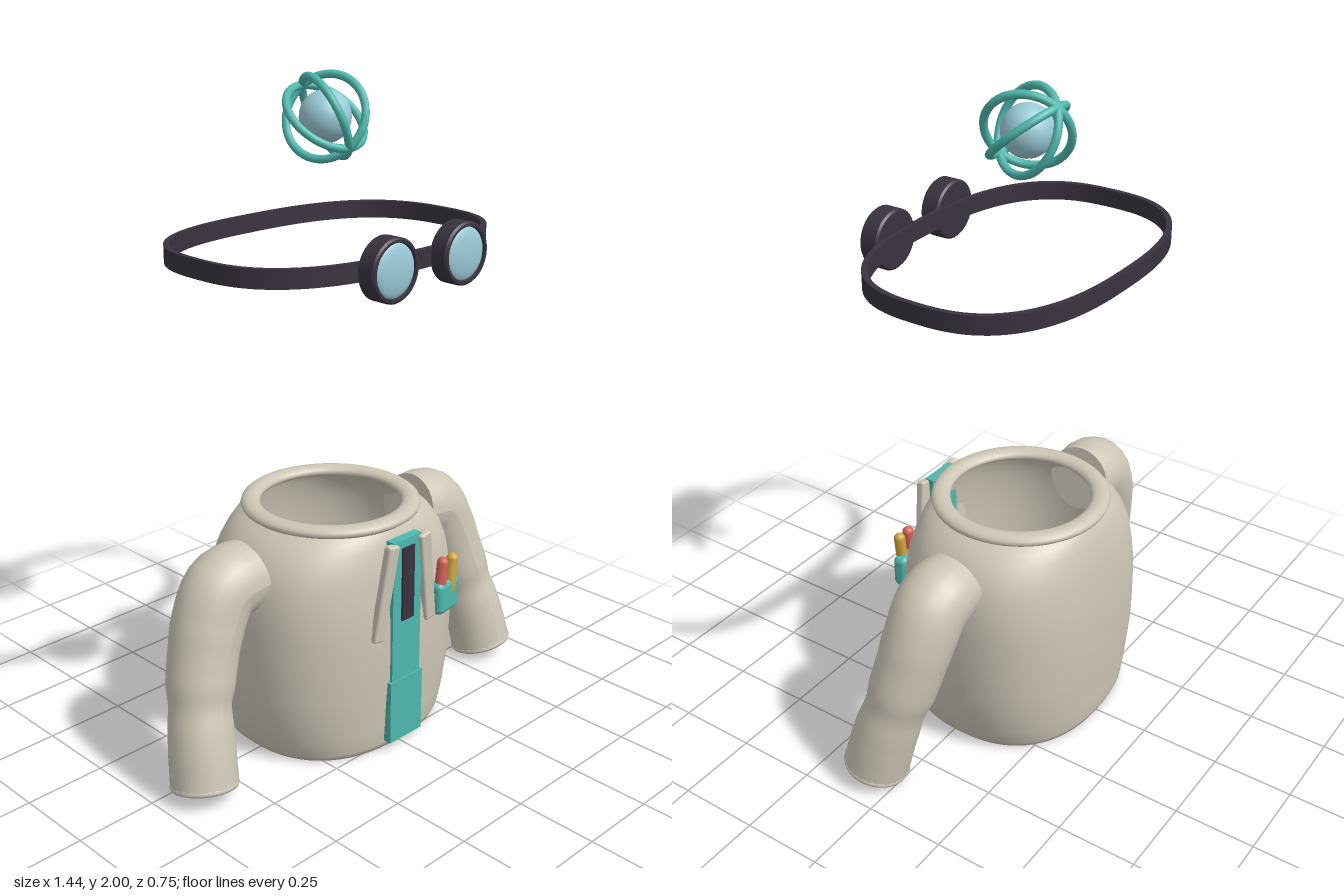
import * as THREE from 'three';
import { toCreasedNormals } from 'three/addons/utils/BufferGeometryUtils.js';
import { RoundedBoxGeometry } from 'three/addons/geometries/RoundedBoxGeometry.js';

const material = (name, color, side = THREE.FrontSide) => {
  const m = new THREE.MeshStandardMaterial({ color, side });
  m.name = name;
  return m;
};

// Skin over superellipse rings; each row is [y, halfWidth, halfDepth, exponent]
function loft(rows, zc, seg = 64) {
  const pos = [], index = [];
  const se = (v, n) => Math.sign(v) * Math.abs(v) ** (2 / n);
  rows.forEach(([y, a, b, n], j) => {
    for (let i = 0; i < seg; i++) {
      const t = (i / seg) * Math.PI * 2;
      pos.push(a * se(Math.cos(t), n), y, zc + b * se(Math.sin(t), n));
      if (j === rows.length - 1) continue;
      const p = j * seg + i, q = j * seg + (i + 1) % seg;
      index.push(p, p + seg, q, q, p + seg, q + seg);
    }
  });
  const g = new THREE.BufferGeometry();
  g.setAttribute('position', new THREE.Float32BufferAttribute(pos, 3));
  g.setIndex(index);
  g.computeVertexNormals();
  return g;
}

// Tube whose radius follows a list of evenly spaced values
function taperedTube(path, radii, steps = 32, sides = 24) {
  const g = new THREE.TubeGeometry(path, steps, 1, sides, false);
  const p = g.attributes.position, v = new THREE.Vector3();
  for (let j = 0; j <= steps; j++) {
    const u = j / steps, c = path.getPointAt(u);
    const f = u * (radii.length - 1), k = Math.min(Math.floor(f), radii.length - 2);
    const r = THREE.MathUtils.lerp(radii[k], radii[k + 1], THREE.MathUtils.smoothstep(f - k, 0, 1));
    for (let i = 0; i <= sides; i++) {
      const id = j * (sides + 1) + i;
      v.fromBufferAttribute(p, id).sub(c).multiplyScalar(r).add(c);
      p.setXYZ(id, v.x, v.y, v.z);
    }
  }
  g.computeVertexNormals();
  return g;
}

export function createModel() {
  const root = new THREE.Group();
  const cloth = material('cream cloth', 0xcdc6b6, THREE.DoubleSide);
  const teal = material('teal', 0x4fb8ad);
  const dark = material('dark plum', 0x3a3340);
  const glass = material('pale blue', 0x9bcbd8);
  const red = material('red', 0xd8625a);
  const yellow = material('yellow', 0xd0a840);

  const add = (name, geo, mat, x = 0, y = 0, z = 0, parent = root) => {
    const m = new THREE.Mesh(geo, mat);
    m.name = name;
    m.position.set(x, y, z);
    parent.add(m);
    return m;
  };

  // Coat body, open at neck and hem, with a turned-in hem
  add('coatBody', loft([
    [0.03, 0.275, 0.25, 2.4], [0.005, 0.285, 0.26, 2.4], [0, 0.33, 0.295, 2.4],
    [0.02, 0.345, 0.303, 2.4], [0.08, 0.366, 0.306, 2.45], [0.15, 0.378, 0.309, 2.5],
    [0.22, 0.387, 0.314, 2.5], [0.32, 0.389, 0.316, 2.5], [0.42, 0.39, 0.315, 2.5],
    [0.5, 0.386, 0.308, 2.45], [0.57, 0.375, 0.3, 2.4], [0.62, 0.355, 0.291, 2.3],
    [0.66, 0.328, 0.281, 2.2], [0.69, 0.295, 0.272, 2.1], [0.71, 0.26, 0.258, 2],
  ], -0.027), cloth);

  // Rolled neck
  const neck = add('neckRing', new THREE.TorusGeometry(0.246, 0.03, 14, 64), cloth, 0, 0.716, -0.027);
  neck.rotation.x = Math.PI / 2;
  neck.scale.z = 0.62;

  // Sleeves with cuff rings
  for (const s of [1, -1]) {
    const sleeve = new THREE.Group();
    sleeve.name = s > 0 ? 'leftSleeve' : 'rightSleeve';
    root.add(sleeve);
    const path = new THREE.CatmullRomCurve3([
      [0.35, 0.59, -0.022], [0.45, 0.573, -0.022], [0.505, 0.49, -0.016], [0.553, 0.36, 0.004],
      [0.58, 0.27, 0.024], [0.604, 0.15, 0.056], [0.618, 0.042, 0.08],
    ].map(([x, y, z]) => new THREE.Vector3(x * s, y, z)));
    add('sleeve', taperedTube(path, [0.107, 0.112, 0.11, 0.108, 0.104, 0.102, 0.092, 0.097, 0.099, 0.1]), cloth, 0, 0, 0, sleeve);
    const start = path.getPointAt(0), end = path.getPointAt(1);
    const cap = add('shoulderCap', new THREE.CircleGeometry(0.107, 24), cloth, start.x, start.y, start.z, sleeve);
    cap.lookAt(start.clone().sub(path.getTangentAt(0)));
    const cuff = add('cuff', new THREE.TorusGeometry(0.091, 0.011, 8, 32), cloth, end.x, end.y, end.z, sleeve);
    cuff.lookAt(end.clone().add(path.getTangentAt(1)));
  }

  // Front placket, zip and lapels
  add('placket', new THREE.BoxGeometry(0.12, 0.48, 0.03), teal, 0, 0.45, 0.281);
  add('lowerPlacket', new THREE.BoxGeometry(0.138, 0.205, 0.026), teal, 0, 0.13, 0.287);
  add('zip', new THREE.BoxGeometry(0.05, 0.235, 0.008), dark, 0, 0.547, 0.298);
  for (const s of [1, -1]) {
    const lapel = add('lapel', new RoundedBoxGeometry(0.045, 0.305, 0.028, 2, 0.008), cloth, 0.09 * s, 0.537, 0.289);
    lapel.rotation.set(0.05, 0, 0.155 * s);
  }

  // Chest pocket and pens
  const pocket = add('pocket', new RoundedBoxGeometry(0.108, 0.108, 0.05, 3, 0.02), teal, 0.186, 0.437, 0.28);
  pocket.rotation.y = 0.12;
  [[red, 0.163], [yellow, 0.207]].forEach(([mat, x]) => {
    const pen = add('pen', new THREE.CapsuleGeometry(0.018, 0.1, 6, 14), mat, x, 0.502, 0.287);
    pen.rotation.z = -0.12;
  });

  // Goggles: flat strap, two cups and domed lenses
  const goggles = new THREE.Group();
  goggles.name = 'goggles';
  root.add(goggles);
  const inner = [0.483, 0.329, 2.6], outer = [0.499, 0.345, 2.6];
  add('strap', toCreasedNormals(loft([
    [1.498, ...inner], [1.498, ...outer], [1.552, ...outer], [1.552, ...inner], [1.498, ...inner],
  ], -0.029, 96), 0.8), dark, 0, 0, 0, goggles);
  const cupProfile = [[0, 0], [0.084, 0], [0.09, 0.006], [0.09, 0.056], [0.085, 0.062], [0.077, 0.062], [0.075, 0.052], [0, 0.052]]
    .map(([r, h]) => new THREE.Vector2(r, h));
  for (const x of [0.142, -0.142]) {
    const cup = add('lensCup', toCreasedNormals(new THREE.LatheGeometry(cupProfile, 40), 0.6), dark, x, 1.527, 0.306, goggles);
    cup.rotation.x = Math.PI / 2;
    const lens = add('lens', new THREE.SphereGeometry(0.077, 32, 10, 0, Math.PI * 2, 0, Math.PI / 2), glass, x, 1.527, 0.356, goggles);
    lens.rotation.x = Math.PI / 2;
    lens.scale.y = 0.25;
  }

  // Floating core with three orbit rings sharing one tilted axis
  const atom = new THREE.Group();
  atom.name = 'atom';
  atom.position.set(0, 1.876, -0.046);
  atom.rotation.x = 0.7;
  root.add(atom);
  add('core', new THREE.SphereGeometry(0.075, 32, 20), glass, 0, 0, 0, atom);
  for (const k of [-1, 0, 1]) {
    const orbit = new THREE.Group();
    orbit.name = 'orbit';
    orbit.rotation.z = k * Math.PI / 3;
    atom.add(orbit);
    add('orbitRing', new THREE.TorusGeometry(0.122, 0.012, 10, 48), teal, 0, 0, 0, orbit).rotation.x = Math.PI / 2;
  }
  return root;
}
